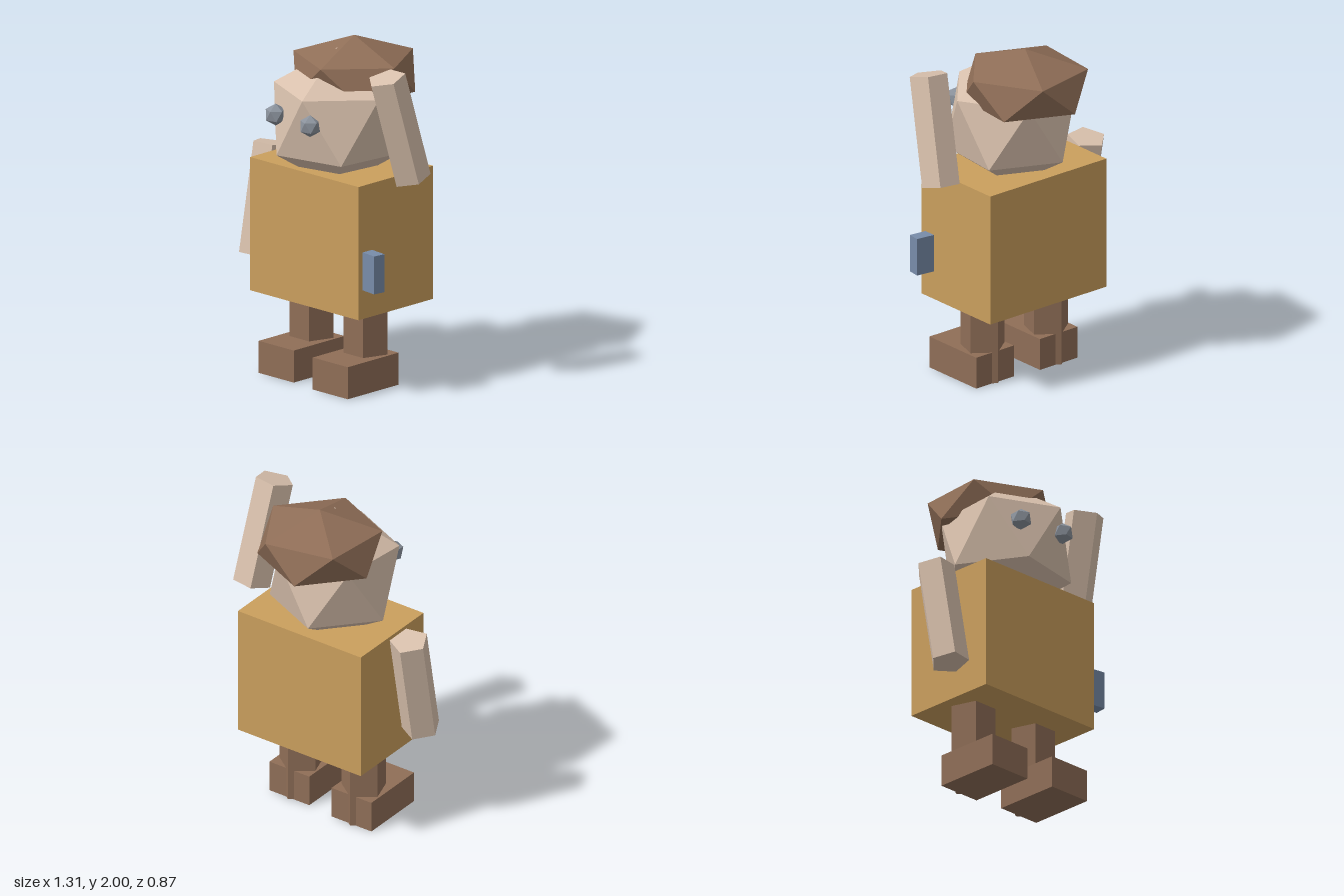
import * as THREE from 'three';

const mat = (name, color) => {
  const m = new THREE.MeshStandardMaterial({ color });
  m.name = name;
  return m;
};

export function createModel() {
  const model = new THREE.Group();
  model.name = 'blockyFigure';
  const ochre = mat('ochre cloth', 0xca9f5d);
  const brown = mat('brown', 0x8f6e57);
  const skin = mat('skin', 0xd8c0ac);
  const steel = mat('grey eyes', 0x8a919b);
  const blue = mat('blue', 0x788ca9);
  const turn = 0.052; // slight twist of the body about the vertical

  const add = (name, geometry, material, x = 0, y = 0, z = 0, ry = 0) => {
    const mesh = new THREE.Mesh(geometry, material);
    mesh.name = name;
    mesh.position.set(x, y, z);
    mesh.rotation.y = ry;
    model.add(mesh);
    return mesh;
  };

  // Icosahedron standing on a vertex, optionally squashed
  const gem = (r, ry = r) => new THREE.IcosahedronGeometry(1)
    .rotateZ(Math.atan(2 / (1 + Math.sqrt(5))))
    .rotateY(Math.PI - turn)
    .scale(r, ry, r);

  // Flat-sided five-sided prism; phi is the angle of one corner from +x towards +z
  const prism = (r, height, phi) => new THREE.CylinderGeometry(
    r, r, height, 5, 1, false, Math.PI / 2 - THREE.MathUtils.degToRad(phi)).toNonIndexed();
  const flat = (g) => { g.computeVertexNormals(); return g; };

  // Torso and the small box at its left side
  add('torso', new THREE.BoxGeometry(0.865, 0.79, 0.605), ochre, 0.003, 0.875, 0.012, turn);
  add('sideBox', new THREE.BoxGeometry(0.15, 0.225, 0.075), blue, 0.482, 0.763, 0.222, -0.08);

  // Head, hair and eyes
  add('head', gem(0.415), skin, 0, 1.537, 0.043);
  add('hair', gem(0.4, 0.215), brown, 0, 1.785, -0.09);
  add('rightEye', gem(0.065), steel, -0.17, 1.58, 0.362);
  add('leftEye', gem(0.065), steel, 0.135, 1.58, 0.375);

  // Arms, each spanned between a lower and an upper end
  const arm = (name, low, high, phi) => {
    const a = new THREE.Vector3(...low), b = new THREE.Vector3(...high);
    const axis = b.clone().sub(a);
    const mesh = add(name, flat(prism(0.113, axis.length(), phi)), skin);
    mesh.position.copy(a).add(b).multiplyScalar(0.5);
    mesh.quaternion.setFromUnitVectors(new THREE.Vector3(0, 1, 0), axis.normalize());
  };
  arm('rightArm', [-0.538, 0.637, 0.163], [-0.545, 1.272, 0.045], 42.5);
  arm('leftArm', [0.551, 1.28, -0.024], [0.516, 1.9, 0.139], 20.5);

  // Legs and feet
  for (const [side, legX, footX] of [['right', -0.234, -0.225], ['left', 0.221, 0.23]]) {
    add(side + 'Leg', flat(prism(0.132, 0.55, -90)), brown, legX, 0.276, 0.018, turn);
    add(side + 'Foot', new THREE.BoxGeometry(0.28, 0.19, 0.412), brown, footX, 0.095, 0.111, turn);
  }
  return model;
}
